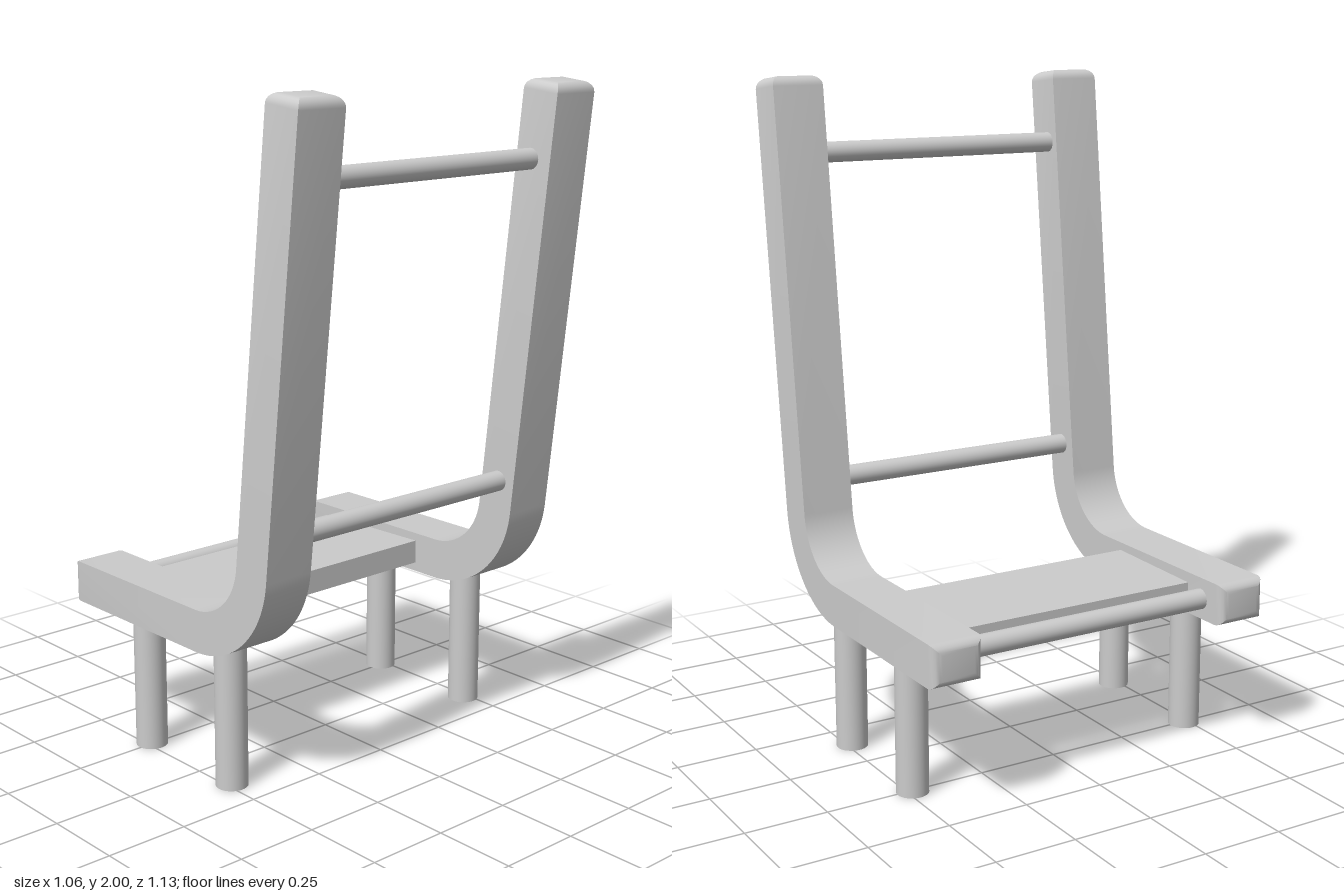
import * as THREE from 'three';
import { toCreasedNormals } from 'three/addons/utils/BufferGeometryUtils.js';

const material = new THREE.MeshStandardMaterial({ color: 0xcccccc });

// Side rail: a rectangle swept along seat, bend and leaning back, with rounded ends
function railGeometry() {
  const halfT = 0.0635, halfW = 0.08, round = 0.03;
  const turn = Math.PI / 2 - 0.1085, radius = 0.2525;
  const seatY = 0.4765, bendX = 0.074, frontX = -0.53, backLength = 1.299;
  const stations = []; // x, y, direction angle, inset
  const steps = 5;
  const cap = (i) => {
    const a = (i / steps) * Math.PI / 2;
    return { along: round * (1 - Math.cos(a)), inset: round * (1 - Math.sin(a)) };
  };
  for (let i = 0; i <= steps; i++) {
    const c = cap(i);
    stations.push([frontX + c.along, seatY, 0, c.inset]);
  }
  for (let i = 0; i <= 24; i++) {
    const a = (turn * i) / 24;
    stations.push([bendX + radius * Math.sin(a), seatY + radius * (1 - Math.cos(a)), a, 0]);
  }
  const [bx, by] = stations[stations.length - 1];
  for (let i = steps; i >= 0; i--) {
    const c = cap(i), s = backLength - c.along;
    stations.push([bx + s * Math.cos(turn), by + s * Math.sin(turn), turn, c.inset]);
  }

  const positions = [], index = [];
  for (const [x, y, a, inset] of stations) {
    const t = halfT - inset, w = halfW - inset;
    for (const [n, z] of [[t, w], [-t, w], [-t, -w], [t, -w]]) {
      positions.push(x - n * Math.sin(a), y + n * Math.cos(a), z);
    }
  }
  const last = (stations.length - 1) * 4;
  for (let k = 0; k < last; k += 4) {
    for (let j = 0; j < 4; j++) {
      const a = k + j, b = k + ((j + 1) % 4);
      index.push(a, b, b + 4, a, b + 4, a + 4);
    }
  }
  index.push(0, 2, 1, 0, 3, 2, last, last + 1, last + 2, last, last + 2, last + 3);
  const geometry = new THREE.BufferGeometry();
  geometry.setAttribute('position', new THREE.Float32BufferAttribute(positions, 3));
  geometry.setIndex(index);
  return toCreasedNormals(geometry, 0.5);
}

export function createModel() {
  const group = new THREE.Group();
  const add = (name, geometry, x, y, z) => {
    const mesh = new THREE.Mesh(geometry, material);
    mesh.name = name;
    mesh.position.set(x, y, z);
    group.add(mesh);
    return mesh;
  };

  // Side rails and their legs
  const rail = railGeometry();
  const leg = new THREE.CylinderGeometry(0.048, 0.048, 0.45, 32);
  for (const z of [0.483, -0.483]) {
    add('sideRail', rail, 0, 0, z);
    for (const x of [-0.255, 0.132]) add('leg', leg, x, 0.225, z);
  }

  // Round crossbars between the rails
  const bar = new THREE.CylinderGeometry(0.031, 0.031, 0.86, 32).rotateX(Math.PI / 2);
  add('frontCrossbar', bar, -0.43, 0.475, 0);
  add('lowerBackCrossbar', bar, 0.336, 0.79, 0);
  add('upperBackCrossbar', bar, 0.43, 1.77, 0);

  // Seat board, tipped very slightly
  const seat = add('seatBoard', new THREE.BoxGeometry(0.355, 0.073, 0.83), -0.19, 0.475, 0);
  seat.rotation.z = 0.02;

  return group;
}
